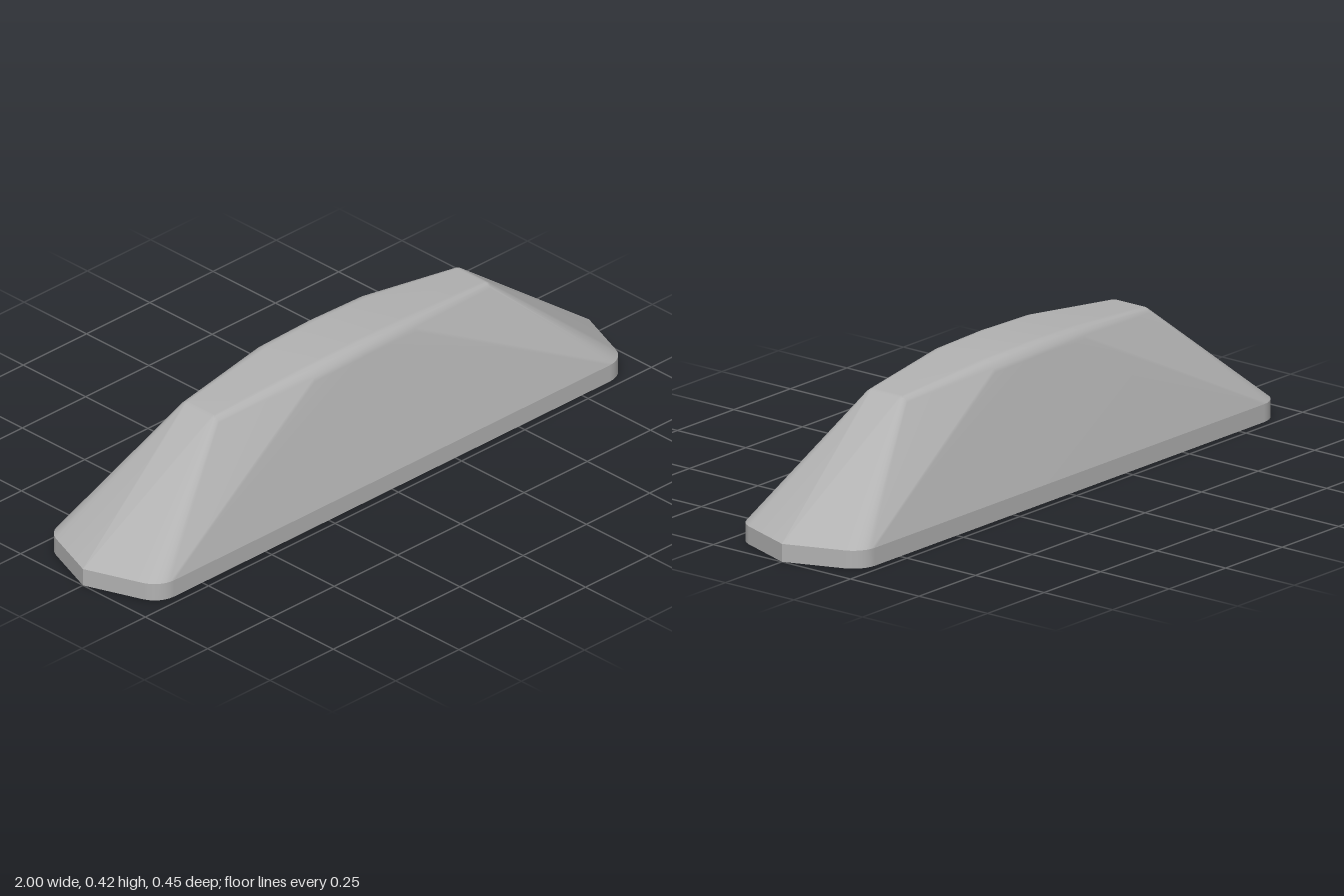
import * as THREE from 'three';
import { ConvexGeometry } from 'three/addons/geometries/ConvexGeometry.js';

const BASE_TOP = 0.053;

// Area-weighted smooth normals; edges steeper than the crease stay sharp.
function smoothNormals(geometry, crease) {
  const pos = geometry.attributes.position;
  const corners = new Map();
  const faces = [];
  const key = (i) => [pos.getX(i), pos.getY(i), pos.getZ(i)].map((v) => Math.round(v * 1e4)).join();
  for (let i = 0; i < pos.count; i += 3) {
    const [a, b, c] = [0, 1, 2].map((k) => new THREE.Vector3().fromBufferAttribute(pos, i + k));
    const scaled = b.sub(a).cross(c.sub(a));
    const face = { scaled, unit: scaled.clone().normalize() };
    faces.push(face);
    for (let k = 0; k < 3; k++) {
      const id = key(i + k);
      if (!corners.has(id)) corners.set(id, []);
      corners.get(id).push(face);
    }
  }
  const limit = Math.cos(crease);
  for (let i = 0; i < pos.count; i++) {
    const own = faces[Math.floor(i / 3)];
    const n = new THREE.Vector3();
    for (const f of corners.get(key(i))) if (f.unit.dot(own.unit) > limit) n.add(f.scaled);
    if (n.lengthSq() === 0) n.copy(own.unit);
    n.normalize();
    geometry.attributes.normal.setXYZ(i, n.x, n.y, n.z);
  }
}

export function createModel() {
  const group = new THREE.Group();
  group.name = 'taperedShell';
  const grey = new THREE.MeshStandardMaterial({ color: 0xb2b2b2 });
  grey.name = 'plain grey';

  const points = [];
  const step = Math.PI / 12;

  // Rounded roof corners: x, y, z of the ball centre and its radius
  const roofBalls = [
    [0, 0.378, 0.077, 0.045],
    [0.2, 0.374, 0.075, 0.045],
    [0.53, 0.357, 0.05, 0.03],
  ];

  for (const sx of [-1, 1]) {
    // Pointed ends of the base
    points.push(new THREE.Vector3(sx, 0, 0), new THREE.Vector3(sx, BASE_TOP, 0));
    for (const sz of [-1, 1]) {
      // Rounded corners of the base
      for (let i = 0; i <= 6; i++) {
        const a = THREE.MathUtils.lerp(0.39, Math.PI / 2, i / 6);
        const x = sx * (0.86 + 0.08 * Math.cos(a));
        const z = sz * (0.145 + 0.08 * Math.sin(a));
        points.push(new THREE.Vector3(x, 0, z), new THREE.Vector3(x, BASE_TOP, z));
      }
      // Rounded roof edge
      for (const [cx, cy, cz, r] of roofBalls) {
        for (let p = 0; p <= 6; p++) {
          for (let t = cx < 0.5 ? 6 : 0; t <= 6; t++) {
            const flat = r * Math.cos(p * step);
            points.push(new THREE.Vector3(
              sx * (cx + flat * Math.cos(t * step)),
              cy + r * Math.sin(p * step),
              sz * (cz + flat * Math.sin(t * step)),
            ));
          }
        }
      }
    }
  }

  const geometry = new ConvexGeometry(points);
  smoothNormals(geometry, 0.29);
  const shell = new THREE.Mesh(geometry, grey);
  shell.name = 'shell';
  group.add(shell);
  return group;
}
